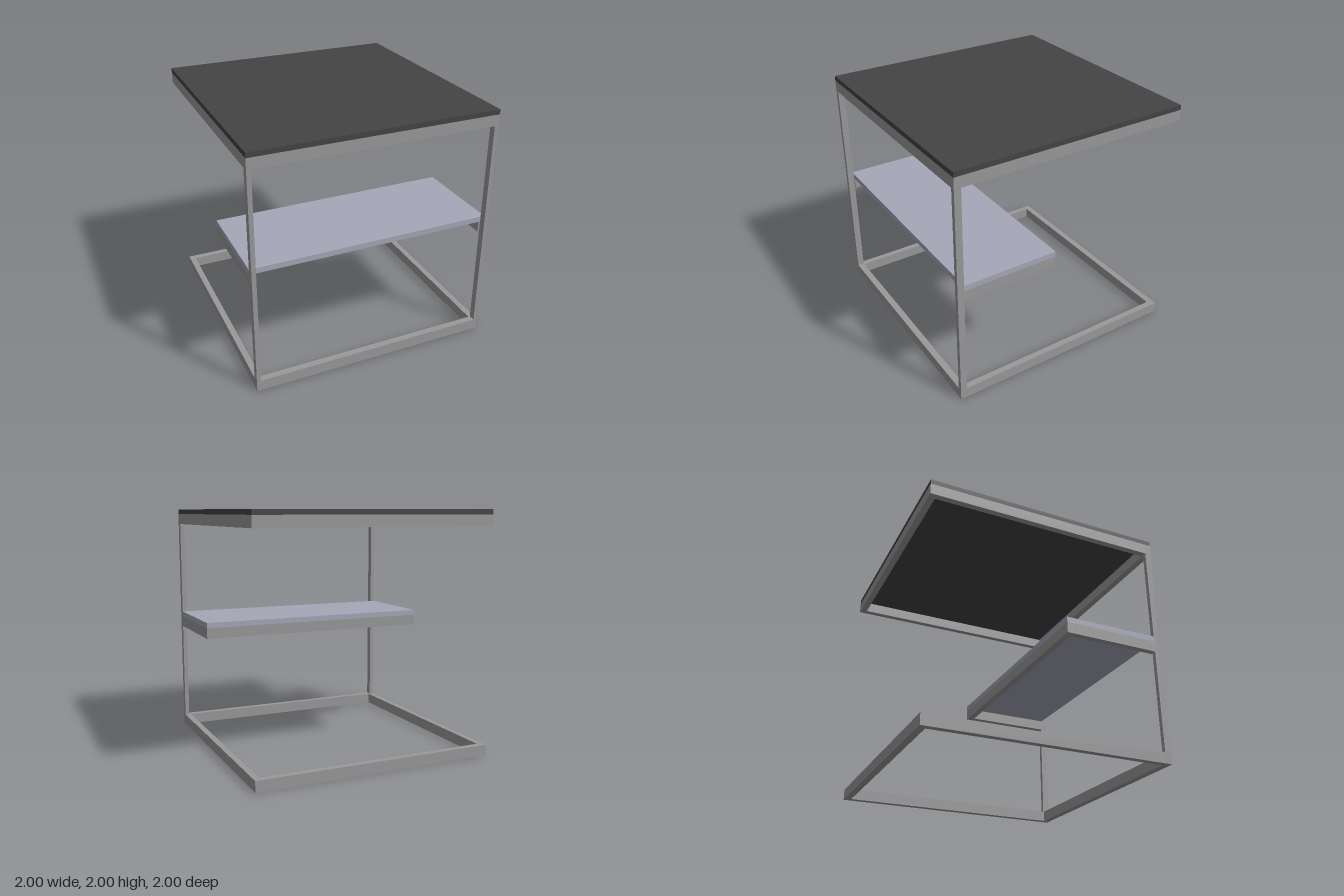
import * as THREE from 'three';

const BAR_H = 0.09, BAR_Z = 0.055, BAR_X = 0.05; // tube height, front/back depth, side width
const POST_X = 0.035, SHELF_BACK = 0.145, SHELF_FRONT = 1 - BAR_Z;

const steel = new THREE.MeshStandardMaterial({ color: 0x999999 });
const darkTop = new THREE.MeshStandardMaterial({ color: 0x444444 });
const paleShelf = new THREE.MeshStandardMaterial({ color: 0xa5a7b8 });

// Box given by its lower and upper corner
function box(parent, name, material, [x0, y0, z0], [x1, y1, z1]) {
  const mesh = new THREE.Mesh(new THREE.BoxGeometry(x1 - x0, y1 - y0, z1 - z0), material);
  mesh.position.set((x0 + x1) / 2, (y0 + y1) / 2, (z0 + z1) / 2);
  mesh.name = name;
  parent.add(mesh);
}

// Horizontal frame of rectangular tube, optionally open at the front
function tubeFrame(name, y, zBack, zFront, hasFront) {
  const frame = new THREE.Group();
  frame.name = name;
  const top = y + BAR_H;
  box(frame, 'backBar', steel, [-1, y, zBack], [1, top, zBack + BAR_Z]);
  if (hasFront) box(frame, 'frontBar', steel, [-1, y, zFront - BAR_Z], [1, top, zFront]);
  const sideEnd = hasFront ? zFront - BAR_Z : zFront;
  box(frame, 'leftBar', steel, [1 - BAR_X, y, zBack + BAR_Z], [1, top, sideEnd]);
  box(frame, 'rightBar', steel, [-1, y, zBack + BAR_Z], [-1 + BAR_X, top, sideEnd]);
  return frame;
}

export function createModel() {
  const table = new THREE.Group();
  table.name = 'cantileverSideTable';

  // Base, shelf and top frames
  table.add(tubeFrame('baseFrame', 0, -1, 1, true));
  table.add(tubeFrame('shelfFrame', 0.935, SHELF_BACK, SHELF_FRONT, false));
  table.add(tubeFrame('topFrame', 1.87, -1, 1, true));

  // Front posts carrying the whole load
  box(table, 'leftPost', steel, [1 - POST_X, BAR_H, 1 - BAR_Z], [1, 1.87, 1]);
  box(table, 'rightPost', steel, [-1, BAR_H, 1 - BAR_Z], [-1 + POST_X, 1.87, 1]);

  // Panels
  box(table, 'tableTop', darkTop, [-1, 1.96, -1], [1, 2, 1]);
  box(table, 'shelfPanel', paleShelf, [-1, 1.025, SHELF_BACK], [1, 1.07, SHELF_FRONT]);
  return table;
}
